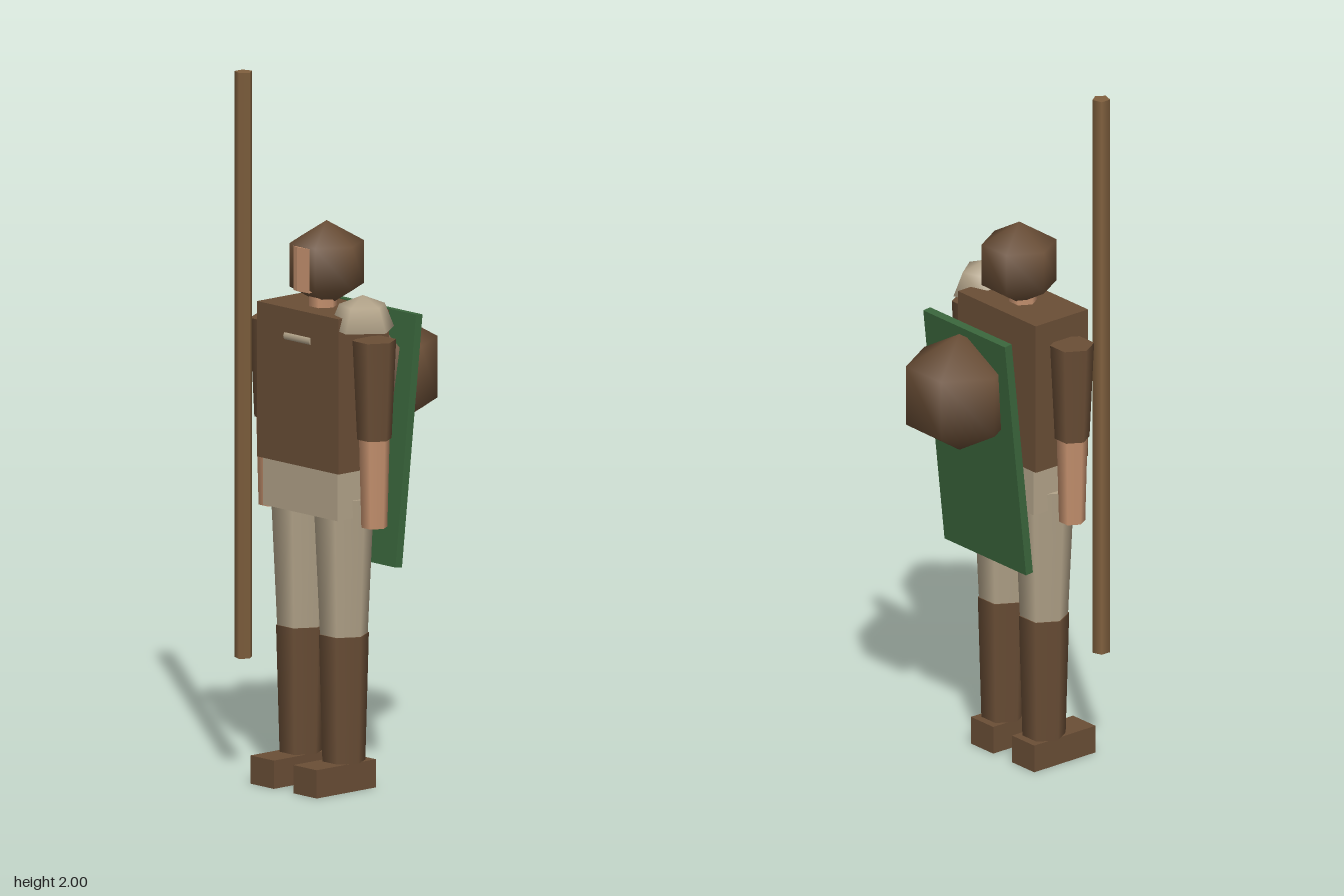
import * as THREE from 'three';

const mat = (name, color) => {
  const m = new THREE.MeshStandardMaterial({ color });
  m.name = name;
  return m;
};

export function createModel() {
  const model = new THREE.Group();
  model.name = 'guard';

  const leather = mat('brown leather', 0x6a4e36);
  const wood = mat('staff wood', 0x80603e);
  const cloth = mat('beige cloth', 0xb3a48a);
  const skin = mat('skin', 0xc6926f);
  const green = mat('shield green', 0x3a663c);
  cloth.side = THREE.DoubleSide; // the shoulder cap is an open shell

  const add = (name, geometry, material, x, y, z) => {
    const mesh = new THREE.Mesh(geometry, material);
    mesh.name = name;
    mesh.position.set(x, y, z);
    model.add(mesh);
    return mesh;
  };
  const box = (name, material, w, h, d, x, y, z) =>
    add(name, new THREE.BoxGeometry(w, h, d), material, x, y, z);
  // Upright tapered prism with one corner pointing to +x
  const limb = (name, material, rTop, rBottom, y0, y1, x, z, sides = 6) => {
    const g = new THREE.CylinderGeometry(rTop, rBottom, y1 - y0, sides);
    g.rotateY(Math.PI / 2);
    return add(name, g, material, x, (y0 + y1) / 2, z);
  };

  // Body
  box('torso', leather, 0.334, 0.44, 0.19, 0, 1.135, 0.105);
  box('hips', cloth, 0.306, 0.135, 0.176, 0.003, 0.8475, 0.105);
  const clasp = new THREE.CylinderGeometry(0.011, 0.011, 0.106, 6);
  clasp.rotateZ(Math.PI / 2).scale(1, 1, 0.55);
  add('chestClasp', clasp, cloth, 0, 1.275, 0.2);

  // Head: hood with a shallow wedge of face showing at the front
  limb('neck', skin, 0.04, 0.04, 1.3, 1.42, 0, 0.105);
  add('hood', new THREE.SphereGeometry(0.122, 6, 3), leather, 0, 1.473, 0.0915);
  const faceShape = new THREE.Shape([
    new THREE.Vector2(-0.034, -0.17),
    new THREE.Vector2(0.03, -0.17),
    new THREE.Vector2(0.03, -0.1845),
    new THREE.Vector2(-0.015, -0.189),
    new THREE.Vector2(-0.034, -0.1845),
  ].reverse());
  const face = new THREE.ExtrudeGeometry(faceShape, { depth: 0.125, bevelEnabled: false });
  face.rotateX(-Math.PI / 2);
  add('face', face, skin, 0, 1.405, 0);

  // Limbs, mirrored
  for (const [side, s] of [['left', 1], ['right', -1]]) {
    limb(side + 'Sleeve', leather, 0.062, 0.049, 1.01, 1.29, s * 0.211, 0.105);
    limb(side + 'Forearm', skin, 0.044, 0.037, 0.76, 1.03, s * 0.211, 0.105);
    limb(side + 'Leg', cloth, 0.086, 0.067, 0.42, 0.83, s * 0.088, 0.107);
    limb(side + 'Boot', leather, 0.071, 0.061, 0.08, 0.44, s * 0.088, 0.107);
    box(side + 'Foot', leather, 0.096, 0.08, 0.222, s * 0.088, 0.04, 0.142);
  }

  // Shoulder cap on the left
  const cap = new THREE.SphereGeometry(0.095, 5, 2, 0, Math.PI * 2, 0, Math.PI / 2);
  cap.rotateY(Math.PI);
  add('shoulderCap', cap, cloth, 0.181, 1.32, 0.121);

  // Gear on the back
  const shield = box('shield', green, 0.35, 0.71, 0.025, 0, 0.975, -0.058);
  shield.rotation.x = -0.109;
  add('pack', new THREE.SphereGeometry(0.174, 6, 3), leather, 0, 1.142, -0.126);

  // Staff beside the right hand
  limb('staff', wood, 0.0257, 0.0257, 0.34, 2, -0.2125, 0.209, 5);

  return model;
}
